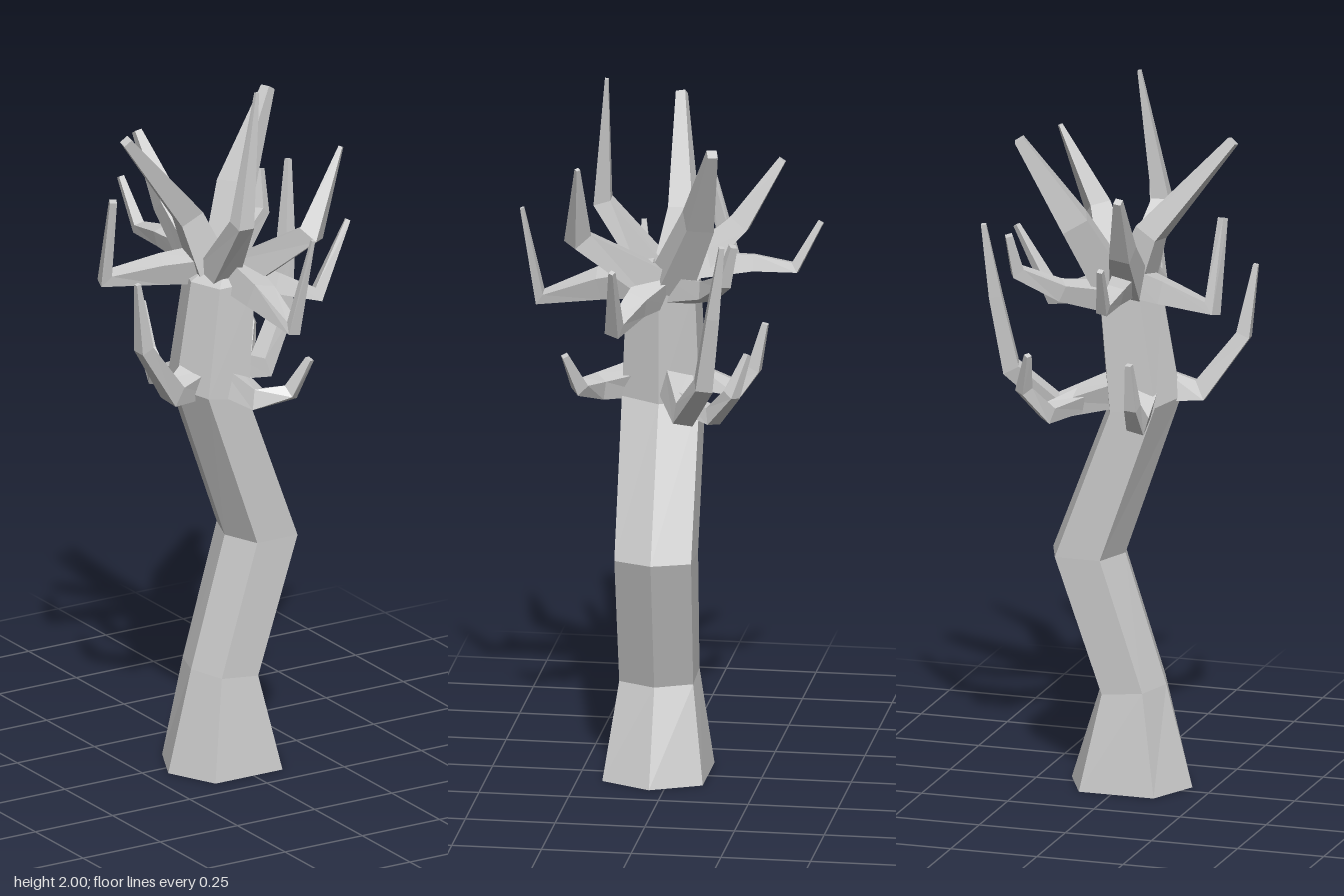
import * as THREE from 'three';

const material = new THREE.MeshStandardMaterial({ color: 0xcccccc, flatShading: true });

// Skin a list of equal-sized vertex rings and close both ends
function loft(name, rings) {
  const n = rings[0].length;
  const pos = [];
  const tri = (a, b, c) => pos.push(...a.toArray(), ...b.toArray(), ...c.toArray());
  for (let i = 0; i < rings.length - 1; i++) {
    for (let j = 0; j < n; j++) {
      const k = (j + 1) % n;
      const a = rings[i][j], b = rings[i][k], c = rings[i + 1][k], d = rings[i + 1][j];
      tri(a, b, c);
      tri(a, c, d);
    }
  }
  const first = rings[0], last = rings[rings.length - 1];
  for (let j = 1; j < n - 1; j++) {
    tri(first[0], first[j + 1], first[j]);
    tri(last[0], last[j], last[j + 1]);
  }
  const geo = new THREE.BufferGeometry();
  geo.setAttribute('position', new THREE.Float32BufferAttribute(pos, 3));
  geo.computeVertexNormals();
  const mesh = new THREE.Mesh(geo, material);
  mesh.name = name;
  return mesh;
}

// Six-sided horizontal section of the trunk
function trunkRing([x, y, z, rx, rz, tilt = 0]) {
  const hex = [[1, 0], [0.62, -1], [-0.62, -1], [-1, 0], [-0.62, 1], [0.62, 1]];
  return hex.map(([u, v]) => new THREE.Vector3(x + u * rx, y + u * tilt, z + v * rz));
}

// Four-sided tapering branch through points [x, y, z, radius]
function branch(name, points) {
  const p = points.map(([x, y, z]) => new THREE.Vector3(x, y, z));
  const span = p[p.length - 1].clone().sub(p[0]).setY(0).normalize();
  const side = new THREE.Vector3(span.z, 0, -span.x);
  const rings = p.map((c, i) => {
    const before = c.clone().sub(p[Math.max(i - 1, 0)]).normalize();
    const after = p[Math.min(i + 1, p.length - 1)].clone().sub(c).normalize();
    const t = before.add(after).normalize();
    const u = side.clone().addScaledVector(t, -side.dot(t)).normalize();
    const v = t.clone().cross(u);
    return [0, 1, 2, 3].map((k) => {
      const a = (k + 0.35) * Math.PI / 2;
      return c.clone()
        .addScaledVector(u, Math.cos(a) * points[i][3])
        .addScaledVector(v, Math.sin(a) * points[i][3]);
    });
  });
  return loft(name, rings);
}

export function createModel() {
  const tree = new THREE.Group();
  tree.name = 'bareTree';

  // Crooked trunk with a flared foot
  tree.add(loft('trunk', [
    [-0.015, 0, 0.04, 0.175, 0.14],
    [-0.02, 0.28, 0.038, 0.095, 0.103, -0.01],
    [0.105, 0.66, 0.028, 0.105, 0.107],
    [-0.055, 1.1, 0.03, 0.105, 0.108, -0.02],
    [-0.015, 1.42, 0.025, 0.092, 0.095],
    [0.01, 1.475, 0.02, 0.03, 0.03],
  ].map(trunkRing)));

  // Crown branches spreading from the top of the trunk
  const crown = new THREE.Group();
  crown.name = 'crownBranches';
  const crownPaths = {
    leaningSide: [[-0.02, 1.42, 0, 0.07], [-0.09, 1.6, -0.02, 0.05], [-0.315, 1.87, 0.02, 0.019]],
    leaningBackCorner: [[0.02, 1.42, 0, 0.07], [0.11, 1.63, -0.09, 0.055], [0.25, 1.87, -0.15, 0.02]],
    tallFront: [[-0.03, 1.43, 0.04, 0.06], [-0.05, 1.63, 0.2, 0.035], [0.01, 2, 0.18, 0.007]],
    frontCorner: [[0.03, 1.42, 0.04, 0.07], [0.15, 1.58, 0.24, 0.042], [0.255, 1.81, 0.225, 0.008]],
    back: [[-0.03, 1.42, -0.01, 0.065], [-0.06, 1.58, -0.18, 0.042], [-0.085, 1.76, -0.295, 0.015]],
    lowFront: [[0.01, 1.44, 0.04, 0.065], [0.01, 1.41, 0.2, 0.048], [0.015, 1.365, 0.365, 0.026], [0.05, 1.63, 0.41, 0.007]],
    longSide: [[-0.02, 1.45, 0, 0.06], [-0.15, 1.44, -0.06, 0.045], [-0.3, 1.425, -0.115, 0.03], [-0.31, 1.67, -0.055, 0.014]],
    lowSide: [[0.02, 1.42, 0.03, 0.07], [0.13, 1.39, 0.08, 0.042], [0.24, 1.35, 0.125, 0.03], [0.345, 1.545, 0.115, 0.01]],
    backCorner: [[0.02, 1.4, -0.01, 0.05], [0.14, 1.44, -0.12, 0.035], [0.245, 1.5, -0.18, 0.026], [0.26, 1.61, -0.21, 0.014]],
    hookedBack: [[-0.02, 1.46, -0.02, 0.055], [-0.05, 1.47, -0.22, 0.033], [-0.055, 1.46, -0.335, 0.022], [-0.07, 1.59, -0.405, 0.011]],
  };
  for (const [name, path] of Object.entries(crownPaths)) crown.add(branch(name + 'Branch', path));
  tree.add(crown);

  // Lower branches that dip and then hook upward
  const lower = new THREE.Group();
  lower.name = 'lowerBranches';
  const lowerPaths = {
    longLeft: [[-0.02, 1.15, 0, 0.06], [0.17, 1.09, -0.06, 0.04], [0.28, 1.21, -0.13, 0.034], [0.315, 1.42, -0.16, 0.025], [0.34, 1.63, -0.19, 0.01]],
    longRight: [[-0.08, 1.15, 0.04, 0.07], [-0.2, 1.13, 0.08, 0.042], [-0.315, 1.29, 0.115, 0.028], [-0.345, 1.49, 0.13, 0.01]],
    shortFront: [[-0.03, 1.14, 0.06, 0.06], [0, 1.11, 0.2, 0.04], [0.08, 1.13, 0.245, 0.028], [0.12, 1.23, 0.28, 0.013]],
    shortBack: [[-0.07, 1.14, -0.02, 0.055], [-0.1, 1.09, -0.17, 0.035], [-0.1, 1.15, -0.215, 0.025], [-0.1, 1.28, -0.245, 0.012]],
    shortBackCorner: [[0.1, 1.11, -0.04, 0.035], [0.17, 1.09, -0.14, 0.033], [0.22, 1.17, -0.2, 0.025], [0.195, 1.28, -0.24, 0.011]],
  };
  for (const [name, path] of Object.entries(lowerPaths)) lower.add(branch(name + 'Branch', path));
  tree.add(lower);

  return tree;
}
